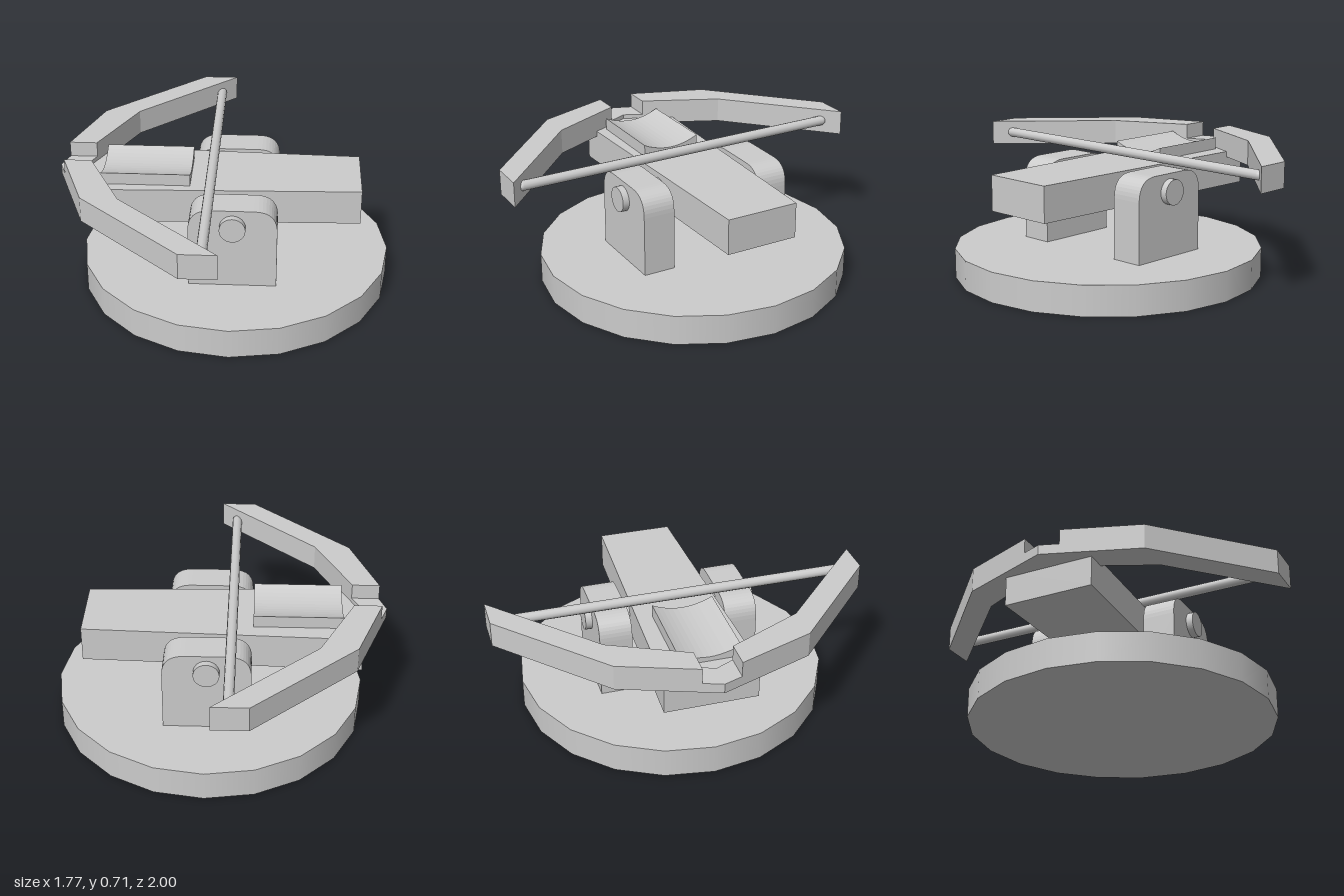
import * as THREE from 'three';

const material = new THREE.MeshStandardMaterial({ color: 0xcccccc });

function add(group, name, geometry) {
  const mesh = new THREE.Mesh(geometry, material);
  mesh.name = name;
  group.add(mesh);
  return mesh;
}

function outline(points) {
  return new THREE.Shape(points.map(([x, y]) => new THREE.Vector2(x, y)));
}

// Extrudes a plan drawn as (x, z) upwards from y0 to y1
function slab(points, y0, y1) {
  const shape = outline(points.map(([x, z]) => [x, -z]));
  const geometry = new THREE.ExtrudeGeometry(shape, { depth: y1 - y0, bevelEnabled: false });
  return geometry.rotateX(-Math.PI / 2).translate(0, y0, 0);
}

export function createModel() {
  const model = new THREE.Group();
  model.name = 'mountedCrossbow';
  const pivotX = 0.055;

  // Round base with twenty sides
  add(model, 'base', new THREE.CylinderGeometry(0.83, 0.83, 0.16, 20)).position.set(pivotX, 0.08, 0);

  // Upright brackets with rounded top corners, each with a pivot pin
  const bracket = new THREE.Shape();
  bracket.moveTo(-0.23, 0.16);
  bracket.lineTo(0.23, 0.16);
  bracket.lineTo(0.23, 0.485);
  bracket.quadraticCurveTo(0.23, 0.605, 0.11, 0.605);
  bracket.lineTo(-0.11, 0.605);
  bracket.quadraticCurveTo(-0.23, 0.605, -0.23, 0.485);
  for (const [side, z] of [['front', 0.327], ['back', -0.357]]) {
    const plate = new THREE.ExtrudeGeometry(bracket, { depth: 0.175, bevelEnabled: false, curveSegments: 10 });
    add(model, side + 'Bracket', plate).position.set(pivotX, 0, z - 0.0875);
    const pin = new THREE.CylinderGeometry(0.068, 0.068, 0.247, 24).rotateX(Math.PI / 2);
    add(model, side + 'Pin', pin).position.set(pivotX, 0.51, z);
  }

  // Tapered stock
  add(model, 'stock', slab([[-0.75, -0.264], [0.72, -0.215], [0.72, 0.18], [-0.75, 0.229]], 0.415, 0.605));

  // Cradle block with a hollow along its top
  const cradle = new THREE.Shape();
  cradle.moveTo(-0.162, 0.59);
  cradle.lineTo(0.162, 0.59);
  cradle.lineTo(0.162, 0.67);
  cradle.quadraticCurveTo(0, 0.59, -0.162, 0.67);
  const cradleGeometry = new THREE.ExtrudeGeometry(cradle, { depth: 0.47, bevelEnabled: false, curveSegments: 12 });
  add(model, 'cradle', cradleGeometry.rotateY(Math.PI / 2)).position.set(-0.65, 0, 0);

  // Bow limbs joined by a lower grip
  for (const s of [1, -1]) {
    const limb = [[-0.849, 0.1], [-0.705, 0.5], [-0.172, 1], [0.015, 1], [-0.515, 0.5], [-0.703, 0.1]];
    add(model, s > 0 ? 'frontLimb' : 'backLimb', slab(limb.map(([x, z]) => [x, z * s]), 0.575, 0.71));
  }
  const grip = [[-0.885, 0], [-0.849, 0.1], [-0.703, 0.1], [-0.75, 0], [-0.703, -0.1], [-0.849, -0.1]];
  add(model, 'bowGrip', slab(grip, 0.575, 0.628));

  // Bowstring with rounded ends
  const string = new THREE.CapsuleGeometry(0.027, 1.84, 6, 12).rotateX(Math.PI / 2);
  add(model, 'bowstring', string).position.set(-0.07, 0.645, 0);

  return model;
}
